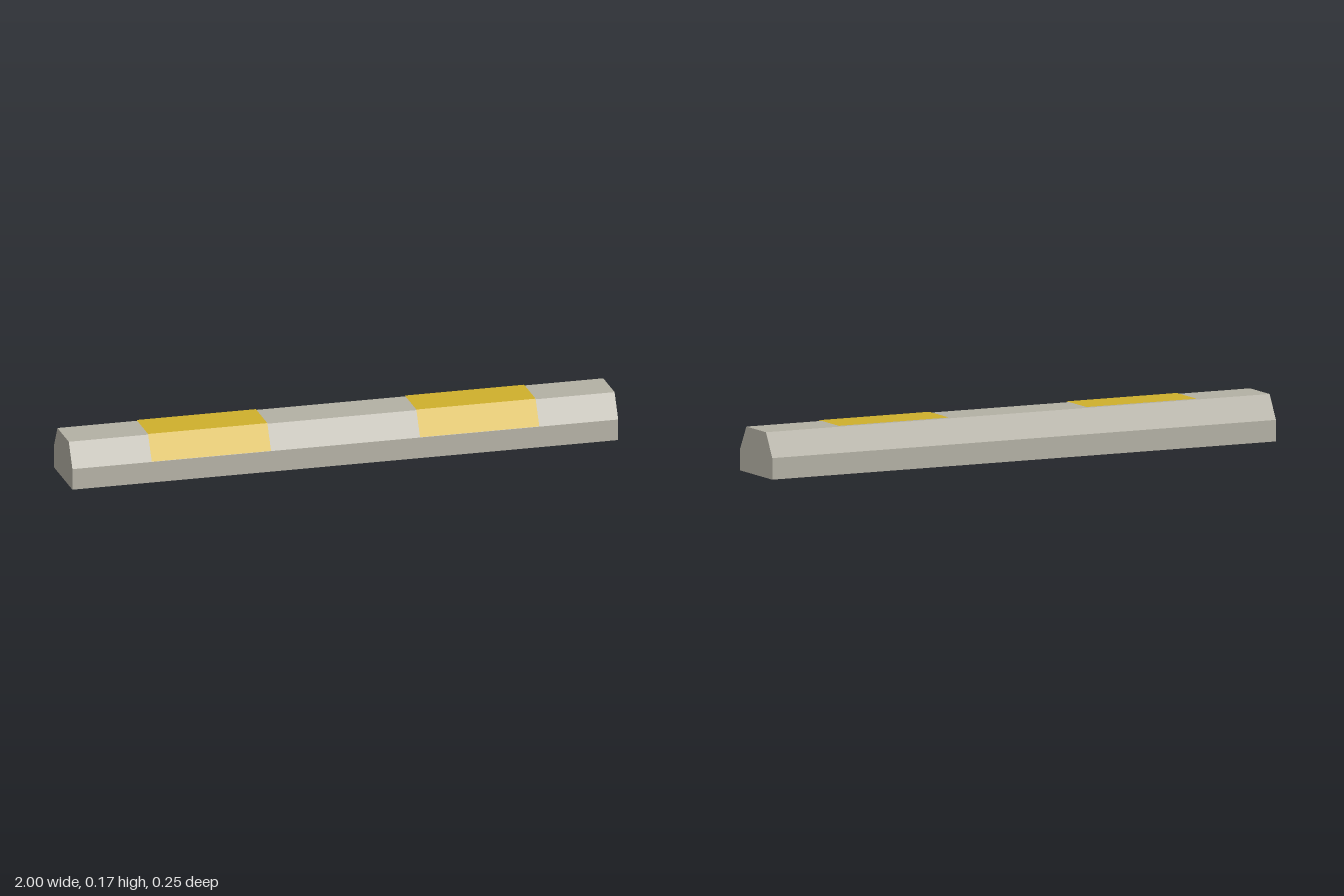
import * as THREE from 'three';

// Cross-section measures (z across, y up)
const BACK = -0.127, FRONT = 0.123, TOP_BACK = -0.078, TOP_FRONT = 0.074;
const SHOULDER = 0.077, TOP = 0.163, LIFT = 0.003;

const concrete = new THREE.MeshStandardMaterial({ color: 0xb4b1a5 });
concrete.name = 'concrete grey';
const paint = new THREE.MeshStandardMaterial({ color: 0xd0b02c, side: THREE.DoubleSide });
paint.name = 'marking yellow';

// Chamfered bar extruded along x
function makeBar() {
  const shape = new THREE.Shape([
    [-FRONT, 0], [-BACK, 0], [-BACK, SHOULDER],
    [-TOP_BACK, TOP], [-TOP_FRONT, TOP], [-FRONT, SHOULDER],
  ].map(([u, y]) => new THREE.Vector2(u, y)));
  const geo = new THREE.ExtrudeGeometry(shape, { depth: 2, bevelEnabled: false });
  geo.translate(0, 0, -1).rotateY(Math.PI / 2);
  const bar = new THREE.Mesh(geo, concrete);
  bar.name = 'bar';
  return bar;
}

// Painted sheet folded over the top and front slope
function makeMarking(x0, x1, name) {
  const path = [[TOP_BACK, TOP + LIFT], [TOP_FRONT + 0.002, TOP + LIFT], [FRONT + LIFT, SHOULDER + 0.002]];
  const pos = [];
  for (let i = 0; i < 2; i++) {
    const [za, ya] = path[i], [zb, yb] = path[i + 1];
    pos.push(x0, ya, za, x0, yb, zb, x1, yb, zb, x0, ya, za, x1, yb, zb, x1, ya, za);
  }
  const geo = new THREE.BufferGeometry();
  geo.setAttribute('position', new THREE.Float32BufferAttribute(pos, 3));
  geo.computeVertexNormals();
  const sheet = new THREE.Mesh(geo, paint);
  sheet.name = name;
  return sheet;
}

export function createModel() {
  const group = new THREE.Group();
  group.name = 'wheelStop';
  group.add(
    makeBar(),
    makeMarking(-0.71, -0.273, 'rightMarking'),
    makeMarking(0.273, 0.71, 'leftMarking'),
  );
  return group;
}
